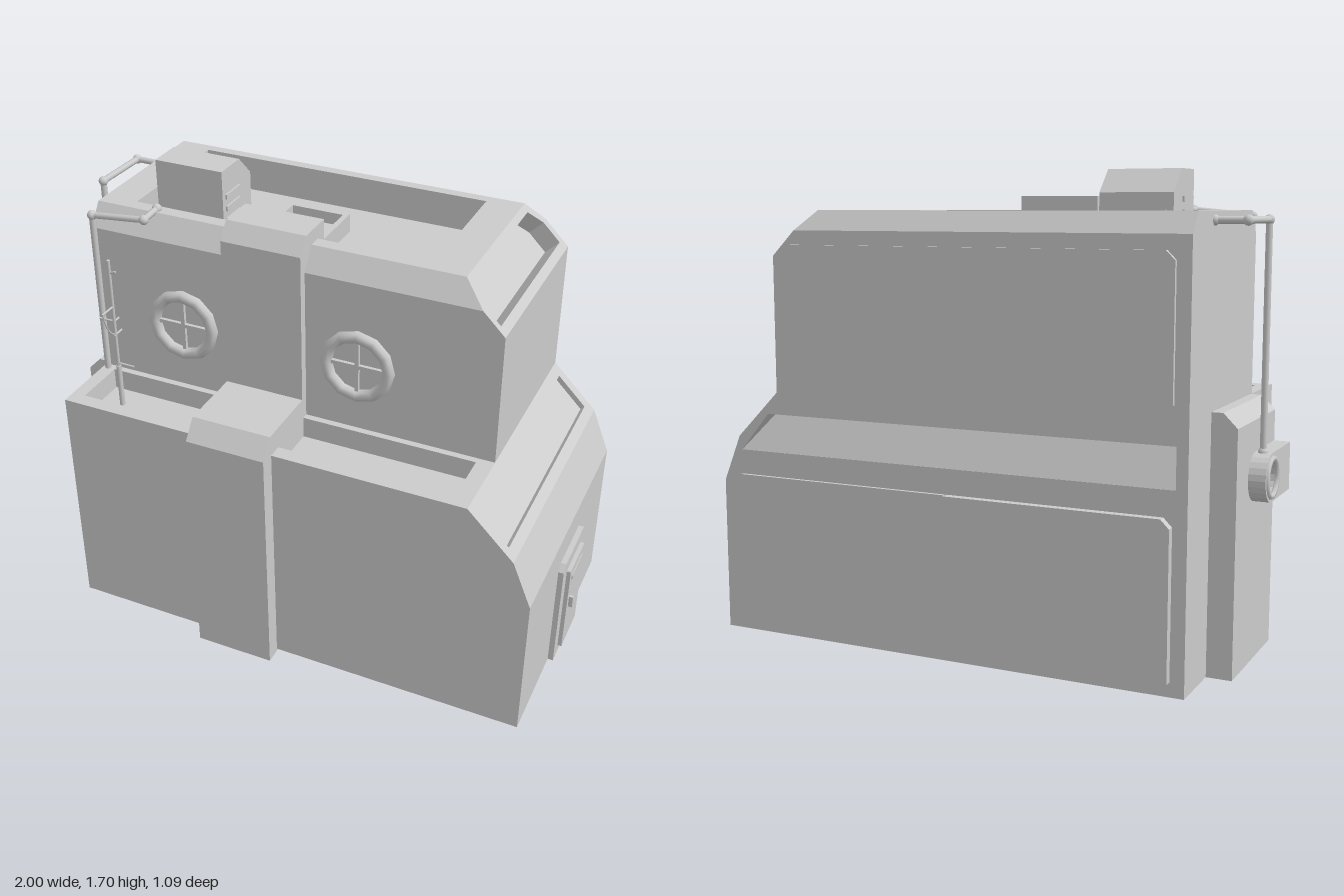
import * as THREE from 'three';

const V = (x, y, z) => new THREE.Vector3(x, y, z);

export function createModel() {
  const root = new THREE.Group();
  const mat = new THREE.MeshStandardMaterial({ color: 0xcccccc });

  function add(name, geo, parent = root) {
    const m = new THREE.Mesh(geo, mat);
    m.name = name;
    parent.add(m);
    return m;
  }
  function group(name) {
    const g = new THREE.Group();
    g.name = name;
    root.add(g);
    return g;
  }
  // box from min and max corners
  function box(name, x0, x1, y0, y1, z0, z1, parent) {
    const g = new THREE.BoxGeometry(x1 - x0, y1 - y0, z1 - z0);
    return add(name, g.translate((x0 + x1) / 2, (y0 + y1) / 2, (z0 + z1) / 2), parent);
  }
  const shapeOf = (pts, hole) => {
    const s = new THREE.Shape(pts.map(p => new THREE.Vector2(...p)));
    if (hole) s.holes.push(new THREE.Path(hole.map(p => new THREE.Vector2(...p))));
    return s;
  };
  const extrude = (pts, depth, hole) =>
    new THREE.ExtrudeGeometry(shapeOf(pts, hole), { depth, bevelEnabled: false });
  // (z, y) outline extruded from x0 to x1
  const sideways = (name, pts, x0, x1, parent, hole) =>
    add(name, extrude(pts, x1 - x0, hole).rotateY(-Math.PI / 2).translate(x1, 0, 0), parent);
  // straight round bar between two points
  function rod(name, a, b, r, parent) {
    const d = b.clone().sub(a);
    const m = add(name, new THREE.CylinderGeometry(r, r, d.length(), 8), parent);
    m.position.copy(a).add(b).multiplyScalar(0.5);
    m.quaternion.setFromUnitVectors(V(0, 1, 0), d.normalize());
  }
  // chain of rods with round joints
  function pipe(name, pts, r) {
    const g = group(name);
    pts.forEach((p, i) => {
      if (i) rod('pipeRun', pts[i - 1], p, r, g);
      add('pipeJoint', new THREE.SphereGeometry(r * 1.5, 10, 8), g).position.copy(p);
    });
  }

  // planar faces, each optionally with a sunken recess (outlines run anticlockwise from outside)
  function hull(name, faces) {
    const pos = [];
    const tri = (...ps) => ps.forEach(p => pos.push(p.x, p.y, p.z));
    for (const { outline, hole, depth } of faces) {
      const o = outline[0], u = outline[1].clone().sub(o).normalize();
      const n = u.clone().cross(outline[2].clone().sub(o)).normalize();
      const v = n.clone().cross(u);
      const flat = ps => ps.map(p => {
        const d = p.clone().sub(o);
        return new THREE.Vector2(d.dot(u), d.dot(v));
      });
      const fill = (ps, hs) => {
        const all = hs ? [...ps, ...hs] : ps;
        THREE.ShapeUtils.triangulateShape(flat(ps), hs ? [flat(hs)] : [])
          .forEach(t => tri(...t.map(i => all[i])));
      };
      fill(outline, hole && [...hole].reverse());
      if (!hole) continue;
      const low = hole.map((p, i) => p.clone().addScaledVector(n, -(Array.isArray(depth) ? depth[i] : depth)));
      fill(low);
      hole.forEach((a, i) => {
        const j = (i + 1) % hole.length;
        tri(a, hole[j], low[j]);
        tri(a, low[j], low[i]);
      });
    }
    const g = new THREE.BufferGeometry();
    g.setAttribute('position', new THREE.Float32BufferAttribute(pos, 3));
    g.computeVertexNormals();
    return add(name, g);
  }
  const flatTop = (y, x0, x1, z0, z1) => [V(x0, y, z1), V(x1, y, z1), V(x1, y, z0), V(x0, y, z0)];
  // strip on the +x side between a lower and an upper (x, y) point
  const strip = (lo, hi, z0, z1) => [V(...lo, z1), V(...lo, z0), V(...hi, z0), V(...hi, z1)];
  const atZ = (pts, z) => pts.map(p => V(p[0], p[1], z));

  const B = -0.51, F = 0.485, M = 0.205, L = -0.84;

  // lower storey with terrace, sloped end and rear slot
  const low = [[L, 0.01], [0.95, 0.01], [0.95, 0.57], [0.88, 0.74], [0.71, 0.91], [L, 0.91]];
  hull('lowerStorey', [
    { outline: atZ(low, F) },
    {
      outline: atZ(low, B).reverse(),
      hole: atZ([[-0.8, 0.83], [0.75, 0.83], [0.87, 0.69], [-0.8, 0.69]], B), depth: [0.06, 0.06, 0.001, 0.001]
    },
    { outline: flatTop(0.01, L, 0.95, B, F).reverse() },
    { outline: [V(L, 0.01, B), V(L, 0.01, F), V(L, 0.91, F), V(L, 0.91, B)] },
    { outline: strip(low[1], low[2], B, F) },
    { outline: strip(low[2], low[3], B, F) },
    { outline: strip(low[3], low[4], B, F), hole: strip([0.85, 0.77], [0.74, 0.88], -0.47, 0.45), depth: 0.02 },
    { outline: flatTop(0.91, L, 0.71, M, F), hole: flatTop(0.91, -0.79, 0.65, 0.23, 0.43), depth: 0.08 },
  ]);

  // upper storey with chamfered long edges, sunken roof and sloped window
  const slope = (y, z) => V(0.71 - (y - 1.4), y, z);
  hull('upperStorey', [
    { outline: [V(L, 0.91, M), V(0.71, 0.91, M), V(0.71, 1.4, M), slope(1.48, M), V(L, 1.48, M)] },
    { outline: [V(L, 1.48, M), slope(1.48, M), slope(1.56, 0.15), V(L, 1.56, 0.15)] },
    { outline: flatTop(1.56, L, 0.55, -0.46, 0.15), hole: flatTop(1.56, -0.71, 0.42, -0.42, 0.1), depth: 0.13 },
    { outline: [slope(1.49, B), V(L, 1.49, B), V(L, 1.56, -0.46), slope(1.56, -0.46)] },
    { outline: [V(0.71, 0.91, B), V(L, 0.91, B), V(L, 1.49, B), slope(1.49, B), V(0.71, 1.4, B)] },
    { outline: [V(L, 0.91, B), V(L, 0.91, M), V(L, 1.48, M), V(L, 1.56, 0.15), V(L, 1.56, -0.46), V(L, 1.49, B)] },
    { outline: strip([0.71, 0.91], [0.71, 1.4], B, M) },
    {
      outline: [slope(1.4, M), slope(1.4, B), slope(1.49, B), slope(1.56, -0.46), slope(1.56, 0.15), slope(1.48, M)],
      hole: [slope(1.425, 0.18), slope(1.425, -0.48), slope(1.49, -0.48), slope(1.54, -0.435), slope(1.54, 0.135), slope(1.49, 0.18)],
      depth: 0.07
    },
  ]);

  // stepped rib running up the front and over the roof edge
  sideways('frontRib', [[0.47, 0], [0.545, 0], [0.545, 0.92], [0.49, 0.99], [0.237, 0.99], [0.237, 1.55],
    [0.19, 1.61], [0.05, 1.61], [0.05, 1.43], [0.18, 1.43], [0.18, 0.82], [0.47, 0.82]], -0.3, 0);

  // annex on the left wall
  add('sideAnnex', extrude([[-0.93, 0.01], [-0.83, 0.01], [-0.83, 0.91], [-0.88, 0.91], [-0.93, 0.86]], 0.47)
    .translate(0, 0, -0.28));

  // fan housing, rounded at its rear end
  const fan = group('fanUnit');
  const circle = (r, n, span = 2 * Math.PI) => Array.from({ length: n }, (_, i) => {
    const a = Math.PI / 2 + span * i / (span > 4 ? n : n - 1);
    return [-0.06 + r * Math.cos(a), 0.665 + r * Math.sin(a)];
  });
  sideways('fanHousing', [...circle(0.085, 13, Math.PI), [0.18, 0.58], [0.18, 0.75]], -0.99, -0.92, fan, circle(0.06, 16));
  add('fanRim', new THREE.TorusGeometry(0.066, 0.01, 6, 16).rotateY(Math.PI / 2), fan).position.set(-0.99, 0.665, -0.06);
  add('fanHub', new THREE.CylinderGeometry(0.018, 0.018, 0.04, 10).rotateZ(Math.PI / 2), fan).position.set(-0.96, 0.665, -0.06);
  for (let i = 0; i < 5; i++) {
    const blade = add('fanBlade', new THREE.BoxGeometry(0.006, 0.05, 0.03).rotateY(0.5).translate(0, 0.035, 0), fan);
    blade.position.set(-0.965, 0.665, -0.06);
    blade.rotation.x = i * 2 * Math.PI / 5;
  }

  pipe('fanPipe', [V(-0.957, 0.75, -0.06), V(-0.957, 1.53, -0.06), V(-0.95, 1.53, -0.29), V(-0.84, 1.53, -0.29)], 0.012);
  pipe('frontPipe', [V(-0.82, 0.83, 0.225), V(-0.82, 1.54, 0.225), V(-0.61, 1.56, 0.22), V(-0.61, 1.565, 0.13)], 0.012);

  // round windows
  for (const x of [-0.48, 0.2]) {
    const g = group('roundWindow');
    g.position.set(x, 1.168, M);
    add('windowRing', new THREE.TorusGeometry(0.117, 0.022, 8, 12), g).position.z = 0.01;
    add('windowGlass', new THREE.CylinderGeometry(0.11, 0.11, 0.006, 12).rotateX(Math.PI / 2), g);
    add('windowBar', new THREE.BoxGeometry(0.22, 0.014, 0.016), g).position.z = 0.008;
    add('windowBar', new THREE.BoxGeometry(0.014, 0.22, 0.016), g).position.z = 0.008;
  }

  // entrance door on the right end
  const door = group('door');
  const arch = (z0, z1, y0, y1, c) => [[z0, y0], [z1, y0], [z1, y1 - c], [z1 - c, y1], [z0 + c, y1], [z0, y1 - c]];
  sideways('doorFrame', arch(-0.175, 0.11, 0.01, 0.46, 0.025), 0.94, 0.97, door);
  sideways('doorLeaf', arch(-0.125, 0.06, 0.045, 0.41, 0.004), 0.97, 0.985, door);
  box('doorSlot', 0.98, 0.988, 0.355, 0.375, -0.1, 0.035, door);
  box('doorHandle', 0.98, 1, 0.225, 0.272, 0.024, 0.036, door);

  // raised rear panels with cut corners
  function rearPanel(name, x0, x1, y0, y1, t, cutL, cutR) {
    const pts = [[x0, y0], [x1, y0], [x1, y1 - cutR], [x1 - cutR, y1], [x0 + cutL, y1], [x0, y1 - cutL]];
    add(name, extrude(pts, t + 0.01).translate(0, 0, B - t));
  }
  rearPanel('upperRearPanel', -0.79, 0.66, 0.96, 1.44, 0.014, 0.03, 0.03);
  rearPanel('rearShutter', -0.79, 0.018, 0.06, 0.6, 0.03, 0.03, 0.001);
  rearPanel('rearPanel', 0.026, 0.9, 0.06, 0.6, 0.014, 0.001, 0.03);

  // roof hatch: rim around a sunken lid
  const hatch = group('roofHatch');
  add('hatchRim', extrude([[-0.27, -0.24], [-0.03, -0.24], [-0.03, 0.06], [-0.27, 0.06]], 0.07,
    [[-0.25, -0.22], [-0.25, 0.04], [-0.05, 0.04], [-0.05, -0.22]]).rotateX(Math.PI / 2).translate(0, 1.5, 0), hatch);
  box('hatchLid', -0.25, -0.05, 1.42, 1.455, -0.22, 0.04, hatch);

  // roof ventilation unit with slats
  const vent = group('roofVent');
  sideways('ventBody', [[-0.18, 1.43], [0.03, 1.43], [0.03, 1.7], [-0.1, 1.7], [-0.18, 1.62]], -0.665, -0.4, vent);
  box('ventBase', -0.645, -0.42, 1.43, 1.46, -0.2, 0.04, vent);
  for (let i = 0; i < 3; i++) {
    const y = 1.5 + i * 0.045;
    box('ventSlat', -0.672, -0.393, y, y + 0.018, -0.09, 0.01, vent);
    if (i < 2) box('rearSlat', -0.64, -0.425, y, y + 0.018, -0.19, -0.17, vent);
  }

  // terrace antenna
  const ant = group('antenna');
  const ax = -0.705, az = 0.32;
  rod('mast', V(ax, 0.83, az), V(ax, 1.43, az), 0.006, ant);
  rod('mastFoot', V(ax, 0.83, az), V(ax, 1.0, az), 0.01, ant);
  rod('arm', V(ax, 1.245, az), V(ax, 1.245, 0.39), 0.004, ant);
  rod('arm', V(ax, 1.13, az + 0.01), V(ax, 1.13, 0.28), 0.004, ant);
  rod('arm', V(-0.765, 1.185, az), V(ax, 1.185, az), 0.004, ant);
  rod('arm', V(ax, 1.185, az), V(ax, 1.185, 0.29), 0.004, ant);
  rod('arm', V(ax, 1.01, az), V(-0.64, 1.01, az), 0.004, ant);
  rod('arm', V(ax, 1.38, az), V(-0.68, 1.39, az), 0.004, ant);
  const bow = new THREE.QuadraticBezierCurve3(V(ax, 1.245, 0.385), V(ax, 1.16, 0.375), V(ax, 1.13, az));
  add('cable', new THREE.TubeGeometry(bow, 10, 0.003, 5), ant);

  return root;
}
